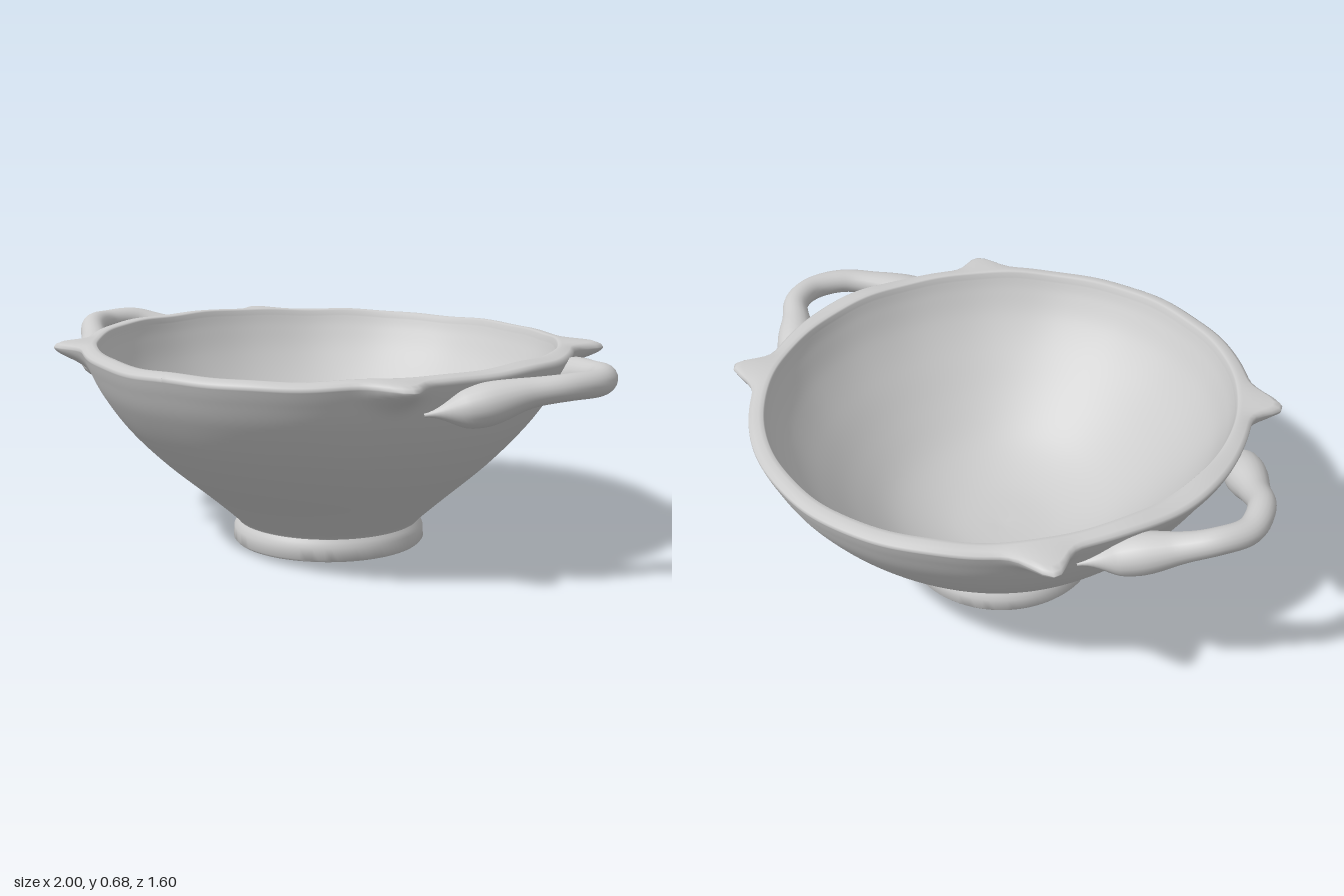
import * as THREE from 'three';
import { mergeVertices, toCreasedNormals } from 'three/addons/utils/BufferGeometryUtils.js';

const clay = new THREE.MeshStandardMaterial({ color: 0xcccccc });
clay.name = 'pale grey clay';

const smooth = THREE.MathUtils.smoothstep;
const bell = (d, width) => Math.exp(-(d * d) / (width * width));

// Small pointed knobs on the rim: angle from +x towards +z, and how far they stick out
const knobs = [[-0.46, 0.66, 0.105], [0.5, 0.61, 0.09], [-0.46, -0.64, 0.1], [0.52, -0.61, 0.1]]
  .map(([z, x, size]) => ({ angle: Math.atan2(z, x), size }));

const spline = (pts, n) => new THREE.SplineCurve(pts.map(p => new THREE.Vector2(...p))).getPoints(n);

// Welds a geometry so that normals run smoothly across its seam
function weld(geo) {
  geo.deleteAttribute('uv');
  geo.deleteAttribute('normal');
  const welded = mergeVertices(geo, 1e-5);
  welded.computeVertexNormals();
  return welded;
}

// Outer wall, rim and inside as one turned shape, then made oval and uneven by hand
function bowlGeometry() {
  const outer = spline([[0.29, 0.06], [0.31, 0.085], [0.4, 0.165], [0.55, 0.29], [0.66, 0.4],
    [0.74, 0.51], [0.78, 0.59], [0.798, 0.635]], 50);
  const rim = [[0.797, 0.645], [0.785, 0.652], [0.765, 0.656], [0.752, 0.655], [0.748, 0.65]]
    .map(p => new THREE.Vector2(...p));
  const inner = spline([[0.744, 0.635], [0.725, 0.59], [0.68, 0.51], [0.6, 0.41], [0.48, 0.29],
    [0.34, 0.185], [0.18, 0.125], [0, 0.11]], 40);
  inner[inner.length - 1].x = 0;
  const geo = new THREE.LatheGeometry([...outer, ...rim, ...inner], 220);
  const pos = geo.attributes.position;
  const outerCount = outer.length + rim.length - 3;
  const perRing = outer.length + rim.length + inner.length;
  for (let i = 0; i < pos.count; i++) {
    let x = pos.getX(i), y = pos.getY(i), z = pos.getZ(i);
    const a = Math.atan2(z, x);
    const up = smooth(y, 0.35, 0.65);
    x *= 1 - 0.035 * smooth(y, 0.1, 0.4);
    // Knobs swell from the outer face only
    if (i % perRing < outerCount) {
      for (const k of knobs) {
        const d = Math.atan2(Math.sin(a - k.angle), Math.cos(a - k.angle));
        const push = k.size * bell(d, 0.075) * bell(y - 0.632, 0.045);
        x += Math.cos(a) * push * 1.1;
        z += Math.sin(a) * push * 0.7;
      }
      // Thickened rim beside the handles
      x += Math.sign(x) * 0.022 * bell(z, 0.28) * smooth(y, 0.52, 0.63);
    }
    // Slightly wavy rim, highest at the sides
    y += up * (0.008 * Math.cos(2 * a) - 0.006 * Math.cos(a) + 0.003 * Math.sin(a)
      + 0.002 * Math.sin(9 * a + 1) + 0.0015 * Math.sin(17 * a));
    pos.setXYZ(i, x, y, z);
  }
  return weld(geo);
}

// Ring foot with a flat underside
function footGeometry() {
  const profile = [[0, 0.004], [0.29, 0.004], [0.305, 0], [0.312, 0.008], [0.31, 0.045],
    [0.303, 0.06], [0.297, 0.07], [0.305, 0.088], [0.25, 0.09]].map(p => new THREE.Vector2(...p));
  return toCreasedNormals(weld(new THREE.LatheGeometry(profile, 96)), 0.8);
}

// Looped handle: a tube that swells at its roots and tapers into the wall
function handleGeometry(side, tipY) {
  const path = new THREE.CatmullRomCurve3([
    [0.65, 0.55, -0.35], [0.725, 0.565, -0.25], [0.83, 0.6, -0.16], [0.922, tipY, -0.085],
    [0.958, tipY, 0.02], [0.918, tipY, 0.13], [0.83, 0.6, 0.215], [0.725, 0.565, 0.305],
    [0.62, 0.545, 0.41],
  ].map(([x, y, z]) => new THREE.Vector3(side * x, y, z)));
  const steps = 72, sides = 20;
  const geo = new THREE.TubeGeometry(path, steps, 1, sides, false);
  const pos = geo.attributes.position;
  const v = new THREE.Vector3();
  for (let i = 0; i < pos.count; i++) {
    const u = Math.floor(i / (sides + 1)) / steps;
    const c = path.getPointAt(u);
    const end = Math.min(u, 1 - u);
    const r = (0.041 + 0.024 * bell(end - 0.17, 0.1)) * (0.15 + 0.85 * smooth(end, 0, 0.12));
    v.fromBufferAttribute(pos, i).sub(c).multiplyScalar(r);
    v.y *= 0.95;
    v.add(c);
    pos.setXYZ(i, v.x, v.y, v.z);
  }
  return weld(geo);
}

export function createModel() {
  const model = new THREE.Group();
  model.name = 'twoHandledBowl';
  const add = (name, geometry) => {
    const mesh = new THREE.Mesh(geometry, clay);
    mesh.name = name;
    model.add(mesh);
  };
  add('bowl', bowlGeometry());
  add('foot', footGeometry());
  add('leftHandle', handleGeometry(1, 0.615));
  add('rightHandle', handleGeometry(-1, 0.637));
  return model;
}
